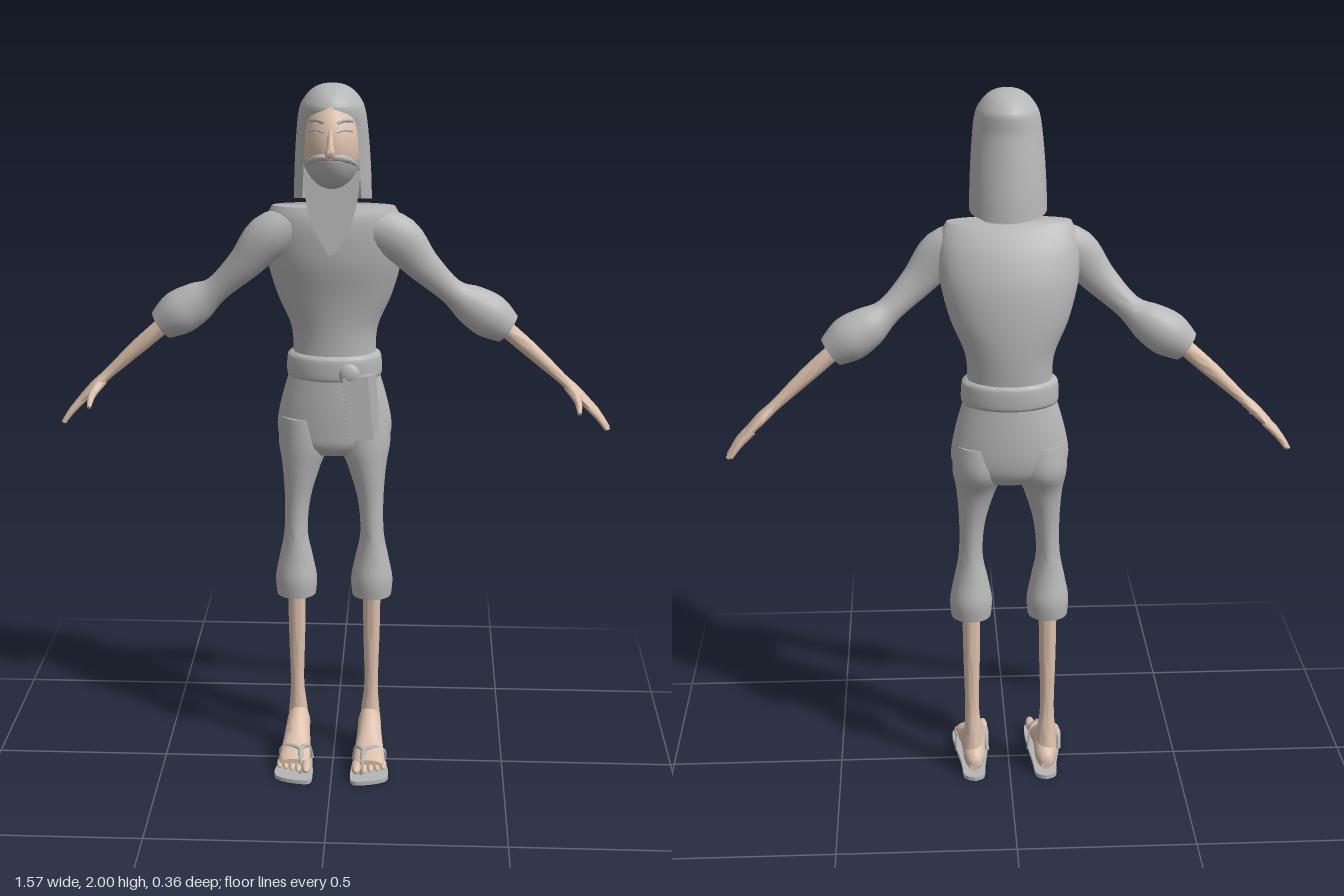
import * as THREE from 'three';
import { mergeVertices, toCreasedNormals } from 'three/addons/utils/BufferGeometryUtils.js';

const cloth = new THREE.MeshStandardMaterial({ color: 0xb6b6b6, side: THREE.DoubleSide });
cloth.name = 'grey cloth';
const skin = new THREE.MeshStandardMaterial({ color: 0xdcc0ac });
skin.name = 'skin';

const UP = new THREE.Vector3(0, 1, 0);
const FRONT = new THREE.Vector3(0, 0, 1);
const SIDE = new THREE.Vector3(1, 0, 0);

// Smooth interpolation through rows of numbers, t in 0..1
function sample(rows, t) {
  const n = rows.length - 1, f = Math.min(t, 0.999999) * n, i = Math.floor(f), w = f - i;
  const at = k => rows[Math.max(0, Math.min(n, k))];
  return rows[0].map((_, c) => {
    const [p, a, b, q] = [at(i - 1)[c], at(i)[c], at(i + 1)[c], at(i + 2)[c]];
    const m0 = (b - p) / 2, m1 = (q - a) / 2;
    return ((2 * a - 2 * b + m0 + m1) * w + (3 * b - 3 * a - 2 * m0 - m1)) * w * w + m0 * w + a;
  });
}

// Grid of points fn(i, j) turned into a smooth surface with sharp rims
function surface(nu, nv, fn) {
  const pos = [], idx = [];
  for (let j = 0; j <= nv; j++) for (let i = 0; i <= nu; i++) pos.push(...fn(i, j));
  for (let j = 0; j < nv; j++) for (let i = 0; i < nu; i++) {
    const a = j * (nu + 1) + i, b = a + nu + 1;
    idx.push(a, a + 1, b, a + 1, b + 1, b);
  }
  const g = new THREE.BufferGeometry();
  g.setAttribute('position', new THREE.Float32BufferAttribute(pos, 3));
  g.setIndex(idx);
  return toCreasedNormals(mergeVertices(g, 1e-5), 1.0);
}

// Capped loft; rows are [x, y, z, halfA, halfB], halfA lies along ref
function loft(rows, ref, fixedTangent, n = 20) {
  const steps = (rows.length - 1) * 4;
  const centre = t => new THREE.Vector3(...sample(rows, t).slice(0, 3));
  return surface(n, steps + 2, (i, j) => {
    const t = Math.max(0, Math.min(1, (j - 1) / steps));
    const s = sample(rows, t), k = j === 0 || j === steps + 2 ? 0 : 1;
    const T = fixedTangent ? fixedTangent.clone()
      : centre(Math.min(1, t + 0.02)).sub(centre(Math.max(0, t - 0.02))).normalize();
    const A = ref.clone().addScaledVector(T, -ref.dot(T)).normalize();
    const B = T.clone().cross(A);
    const ang = (i % n) / n * Math.PI * 2;
    return new THREE.Vector3(s[0], s[1], s[2])
      .addScaledVector(A, k * s[3] * Math.cos(ang))
      .addScaledVector(B, k * s[4] * Math.sin(ang)).toArray();
  });
}

export function createModel() {
  const model = new THREE.Group();
  model.name = 'robedMan';
  const add = (name, geo, mat) => {
    const m = new THREE.Mesh(geo, mat);
    m.name = name;
    model.add(m);
    return m;
  };
  const ball = (name, mat, p, r) => {
    const m = add(name, new THREE.SphereGeometry(1, 20, 14), mat);
    m.position.set(...p);
    m.scale.set(...r);
    return m;
  };
  const faceZ = (x, y) => 0.06 + 0.1 * Math.sqrt(Math.max(0, 1 - (x / 0.08) ** 2 - ((y - 1.84) / 0.12) ** 2));

  // Tunic, belt and hips, stacked from horizontal rings
  add('tunic', loft([
    [0, 1.19, -0.08, 0.118, 0.082], [0, 1.3, -0.085, 0.12, 0.088], [0, 1.4, -0.078, 0.16, 0.095],
    [0, 1.5, -0.06, 0.186, 0.1], [0, 1.58, -0.042, 0.19, 0.088], [0, 1.63, -0.028, 0.182, 0.07],
    [0, 1.66, -0.02, 0.168, 0.05]], SIDE, UP, 32), cloth);
  add('collar', loft([[0, 1.65, -0.02, 0.075, 0.05], [0, 1.675, -0.015, 0.06, 0.045]], SIDE, UP), cloth);
  add('belt', loft([
    [0, 1.165, -0.08, 0.124, 0.088], [0, 1.175, -0.08, 0.134, 0.095],
    [0, 1.225, -0.08, 0.132, 0.095], [0, 1.237, -0.08, 0.122, 0.086]], SIDE, UP, 32), cloth);
  add('trouserHips', loft([
    [0, 0.94, -0.08, 0.1, 0.06], [0, 0.97, -0.08, 0.15, 0.083], [0, 1.02, -0.082, 0.163, 0.09],
    [0, 1.1, -0.08, 0.149, 0.09], [0, 1.2, -0.077, 0.12, 0.083]], SIDE, UP, 32), cloth);

  // Hanging belt ends and knot
  [[0.07, 1.092, 0.012, 0.07, 0.185, 0.1, 0.1], [0.1, 1.1, -0.006, 0.045, 0.17, 0.05, 0.5]].forEach(([x, y, z, w, h, rz, ry]) => {
    const m = add('beltEnd', new THREE.BoxGeometry(w, h, 0.016), cloth);
    m.position.set(x, y, z);
    m.rotation.set(0, ry, rz);
  });
  ball('beltKnot', cloth, [0.045, 1.19, 0.01], [0.03, 0.03, 0.015]);

  // Neck, head, nose
  add('neck', loft([[0, 1.62, -0.02, 0.045, 0.045], [0, 1.8, 0.035, 0.05, 0.05]], SIDE), skin);
  ball('head', skin, [0, 1.84, 0.06], [0.08, 0.12, 0.1]);
  add('nose', loft([
    [0, 1.89, 0.148, 0.006, 0.006], [0, 1.85, 0.163, 0.009, 0.01],
    [0, 1.825, 0.167, 0.014, 0.012], [0, 1.815, 0.16, 0.008, 0.006]], SIDE, new THREE.Vector3(0, -1, 0), 12), skin);

  // Hood: open at the face, closing over the crown. Rows: y, z, halfX, halfZ, opening angle, tilt
  const hood = [
    [1.685, 0.012, 0.105, 0.098, 0.85, 0.018], [1.74, 0.02, 0.104, 0.1, 0.82, 0.008],
    [1.82, 0.032, 0.1, 0.098, 0.8, 0], [1.89, 0.046, 0.094, 0.1, 0.78, 0],
    [1.925, 0.053, 0.089, 0.106, 0.6, 0], [1.95, 0.056, 0.081, 0.105, 0, 0],
    [1.978, 0.058, 0.06, 0.08, 0, 0], [1.994, 0.06, 0.034, 0.045, 0, 0], [2, 0.06, 0, 0, 0, 0]];
  add('hood', surface(36, 40, (i, j) => {
    const [y, z, a, b, open, tilt] = sample(hood, j / 40);
    const gap = Math.max(0, open), ang = gap + i / 36 * (Math.PI * 2 - 2 * gap);
    return [a * Math.sin(ang), y + tilt * Math.cos(ang), z + b * Math.cos(ang)];
  }), cloth);

  // Beard over the jaw and its long flat point
  const jaw = add('jawBeard', new THREE.SphereGeometry(1, 28, 12, 0, Math.PI * 2, 1.86, Math.PI - 1.86), cloth);
  jaw.position.set(0, 1.84, 0.06);
  jaw.scale.set(0.085, 0.122, 0.105);
  const point = new THREE.Shape();
  point.moveTo(-0.075, 0.02);
  point.lineTo(0.075, 0.02);
  point.quadraticCurveTo(0.075, -0.1, 0.02, -0.185);
  point.quadraticCurveTo(0, -0.225, -0.02, -0.185);
  point.quadraticCurveTo(-0.075, -0.1, -0.075, 0.02);
  const tip = add('beardPoint', new THREE.ExtrudeGeometry(point, { depth: 0.014, bevelEnabled: false }), cloth);
  tip.position.set(0, 1.75, 0.076);
  tip.rotation.x = -0.09;

  for (const s of [1, -1]) {
    // Mirrors the x of a list of rows
    const mir = rows => rows.map(r => [s * r[0], ...r.slice(1)]);
    const side = s > 0 ? 'left' : 'right';

    // Face hair and closed eyes
    add(side + 'Moustache', loft(mir([
      [0, 1.815, 0.164, 0.004, 0.005], [0.025, 1.818, 0.157, 0.008, 0.009],
      [0.05, 1.807, 0.137, 0.008, 0.008], [0.07, 1.79, 0.11, 0.003, 0.003]]), FRONT, null, 10), cloth);
    for (const [name, y, r] of [['Brow', 1.905, 0.005], ['Eyelid', 1.882, 0.003]]) {
      add(side + name, loft(mir([0.018, 0.036, 0.056].map((x, i) => {
        const h = y + (i === 1 ? 0.005 : 0);
        return [x, h, faceZ(x, h), 0.003, r];
      })), FRONT, null, 8), cloth);
    }

    // Sleeve with puffed cuff
    add(side + 'Sleeve', loft(mir([
      [0.11, 1.6, -0.02, 0.05, 0.06], [0.18, 1.57, -0.012, 0.048, 0.064], [0.245, 1.497, -0.018, 0.036, 0.048],
      [0.325, 1.42, -0.038, 0.033, 0.037], [0.38, 1.38, -0.052, 0.05, 0.056],
      [0.435, 1.345, -0.056, 0.058, 0.063], [0.485, 1.31, -0.058, 0.042, 0.045]]), FRONT), cloth);

    // Forearm, palm, fingers, thumb
    add(side + 'Forearm', loft(mir([
      [0.45, 1.335, -0.058, 0.024, 0.024], [0.55, 1.248, -0.064, 0.02, 0.022],
      [0.64, 1.165, -0.07, 0.02, 0.015], [0.68, 1.128, -0.072, 0.037, 0.015],
      [0.718, 1.09, -0.077, 0.042, 0.012]]), FRONT, null, 16), skin);
    for (let i = 0; i < 4; i++) {
      const reach = [0, 0.008, 0.008, -0.004][i];
      const z0 = -0.048 - i * 0.02, z1 = -0.036 - i * 0.028;
      add(side + 'Finger', loft(mir([
        [0.705, 1.1, z0, 0.01, 0.01], [0.745 + reach / 2, 1.06 - reach / 2, (z0 + z1) / 2, 0.009, 0.009],
        [0.77 + reach, 1.025 - reach, z1, 0.006, 0.006]]), FRONT, null, 10), skin);
    }
    add(side + 'Thumb', loft(mir([
      [0.66, 1.142, -0.062, 0.014, 0.014], [0.684, 1.112, -0.025, 0.011, 0.012],
      [0.688, 1.085, 0.014, 0.006, 0.006]]), SIDE, null, 10), skin);

    // Trouser leg gathered below the knee, and shin
    add(side + 'TrouserLeg', loft(mir([
      [0.11, 0.508, -0.058, 0.057, 0.058], [0.11, 0.56, -0.058, 0.06, 0.063], [0.11, 0.625, -0.056, 0.048, 0.052],
      [0.11, 0.7, -0.055, 0.034, 0.046], [0.105, 0.8, -0.058, 0.037, 0.048],
      [0.094, 0.9, -0.064, 0.055, 0.064], [0.085, 0.97, -0.08, 0.075, 0.085], [0.085, 1.05, -0.08, 0.07, 0.08]]), SIDE, UP), cloth);
    add(side + 'Shin', loft(mir([
      [0.108, 0.08, -0.078, 0.032, 0.036], [0.108, 0.14, -0.076, 0.026, 0.029], [0.11, 0.22, -0.073, 0.02, 0.023],
      [0.11, 0.38, -0.071, 0.024, 0.026], [0.11, 0.54, -0.067, 0.026, 0.03]]), SIDE, UP), skin);

    // Foot and toes
    add(side + 'Foot', loft(mir([
      [0.105, 0.05, -0.13, 0.016, 0.02], [0.105, 0.062, -0.105, 0.03, 0.038], [0.106, 0.083, -0.065, 0.034, 0.06],
      [0.107, 0.074, -0.02, 0.036, 0.05], [0.108, 0.053, 0.04, 0.042, 0.031],
      [0.109, 0.043, 0.09, 0.046, 0.022], [0.109, 0.04, 0.118, 0.04, 0.014]]), SIDE, FRONT), skin);
    for (let i = 0; i < 5; i++) {
      const r = i === 0 ? 0.014 : 0.0095;
      ball(side + 'Toe', skin, [s * (i === 0 ? 0.073 : 0.077 + i * 0.0185), 0.022 + r, 0.126 - i * 0.007], [r, r, 0.036 - i * 0.002]);
    }

    // Sandal sole and forked strap
    const sole = new THREE.Shape();
    sole.moveTo(s * 0.105, -0.14);
    sole.splineThru([[0.135, -0.12], [0.142, -0.05], [0.158, 0.05], [0.166, 0.12], [0.15, 0.15], [0.1, 0.168],
      [0.062, 0.166], [0.055, 0.12], [0.06, 0.04], [0.07, -0.05], [0.077, -0.12], [0.105, -0.14]]
      .map(([x, z]) => new THREE.Vector2(s * x, z)));
    const soleGeo = new THREE.ExtrudeGeometry(sole, { depth: 0.012, bevelEnabled: false, curveSegments: 40 });
    soleGeo.rotateX(Math.PI / 2);
    add(side + 'Sole', soleGeo, cloth).position.y = 0.012;
    const strap = (pts) => add(side + 'Strap', new THREE.TubeGeometry(new THREE.CatmullRomCurve3(
      pts.map(([x, y, z]) => new THREE.Vector3(s * x, y, z))), 16, 0.006, 8), cloth);
    strap([[0.089, 0.008, 0.125], [0.089, 0.045, 0.118], [0.092, 0.068, 0.085], [0.072, 0.064, 0.05], [0.062, 0.01, 0.02]]);
    strap([[0.089, 0.045, 0.118], [0.092, 0.068, 0.085], [0.13, 0.068, 0.06], [0.152, 0.045, 0.04], [0.153, 0.01, 0.02]]);
  }
  return model;
}
